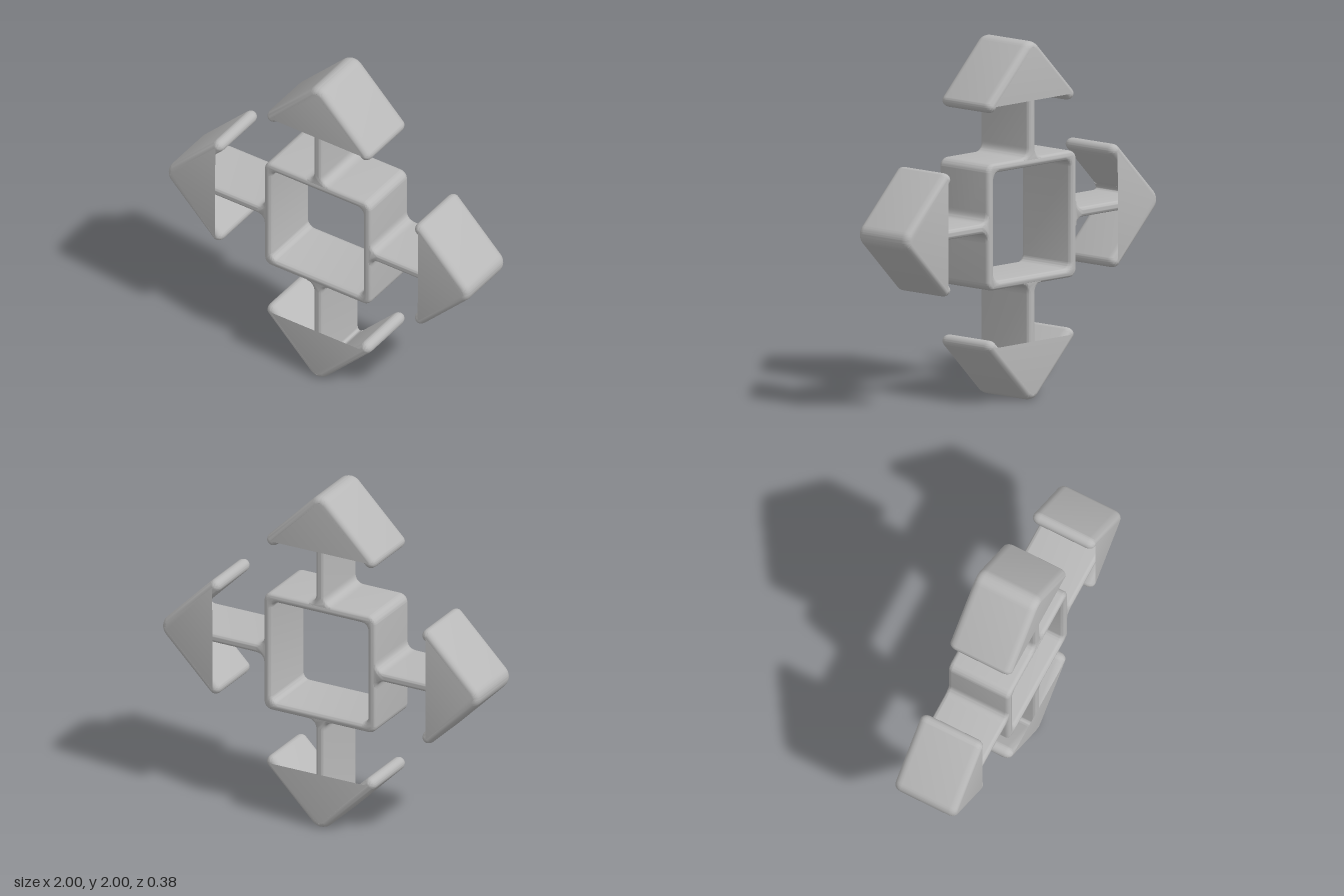
import * as THREE from 'three';
import { toCreasedNormals } from 'three/addons/utils/BufferGeometryUtils.js';

const grey = new THREE.MeshStandardMaterial({ color: 0xb8b8b8 });
grey.name = 'grey';

// Extrudes an outline along z to a total depth, with softly rounded edges
function softPlate(shape, depth, inset, round) {
  const geometry = new THREE.ExtrudeGeometry(shape, {
    depth: depth - 2 * round,
    curveSegments: 10,
    bevelEnabled: true,
    bevelSize: inset,
    bevelOffset: -inset,
    bevelThickness: round,
    bevelSegments: 5,
  });
  geometry.translate(0, 0, -depth / 2 + round);
  return toCreasedNormals(geometry, 0.8);
}

// Draws a square with rounded corners, centred on the origin
function roundedSquare(path, h, r) {
  path.absarc(h - r, h - r, r, 0, Math.PI / 2);
  path.absarc(r - h, h - r, r, Math.PI / 2, Math.PI);
  path.absarc(r - h, r - h, r, Math.PI, Math.PI * 1.5);
  path.absarc(h - r, r - h, r, Math.PI * 1.5, Math.PI * 2);
  path.closePath();
  return path;
}

// Chevron with a blunt tip and round arm ends
function chevronShape() {
  const q = Math.PI / 4;
  const s = new THREE.Shape();
  s.absarc(0, 0.925, 0.075, q, 3 * q);
  s.absarc(-0.308, 0.672, 0.036, 3 * q, 7 * q);
  s.lineTo(0, 0.929);
  s.absarc(0.308, 0.672, 0.036, 5 * q, 9 * q);
  s.closePath();
  return s;
}

// Thin stem, flared where it meets the frame and the chevron
function stemShape() {
  const w = 0.0275;
  const s = new THREE.Shape();
  s.moveTo(-0.085, 0.328);
  s.lineTo(0.085, 0.328);
  s.lineTo(0.085, 0.354);
  s.quadraticCurveTo(w, 0.354, w, 0.41);
  s.lineTo(w, 0.85);
  s.quadraticCurveTo(w, 0.9, 0.063, 0.866);
  s.lineTo(0.083, 0.886);
  s.lineTo(0, 0.965);
  s.lineTo(-0.083, 0.886);
  s.lineTo(-0.063, 0.866);
  s.quadraticCurveTo(-w, 0.9, -w, 0.85);
  s.lineTo(-w, 0.41);
  s.quadraticCurveTo(-w, 0.354, -0.085, 0.354);
  s.closePath();
  return s;
}

export function createModel() {
  const model = new THREE.Group();
  model.name = 'fourWayArrow';

  // Square frame in the middle
  const frameShape = roundedSquare(new THREE.Shape(), 0.354, 0.05);
  frameShape.holes.push(roundedSquare(new THREE.Path(), 0.302, 0.04));
  const frame = new THREE.Mesh(softPlate(frameShape, 0.38, 0.022, 0.025), grey);
  frame.name = 'frame';
  frame.position.y = 1;
  model.add(frame);

  // Four arrows pointing outwards
  const stemGeometry = softPlate(stemShape(), 0.374, 0.02, 0.022);
  const chevronGeometry = softPlate(chevronShape(), 0.384, 0.033, 0.045);
  ['top', 'left', 'bottom', 'right'].forEach((side, i) => {
    const arrow = new THREE.Group();
    arrow.name = side + 'Arrow';
    const stem = new THREE.Mesh(stemGeometry, grey);
    stem.name = side + 'Stem';
    const chevron = new THREE.Mesh(chevronGeometry, grey);
    chevron.name = side + 'Chevron';
    arrow.add(stem, chevron);
    arrow.position.y = 1;
    arrow.rotation.z = -i * Math.PI / 2;
    model.add(arrow);
  });

  return model;
}
